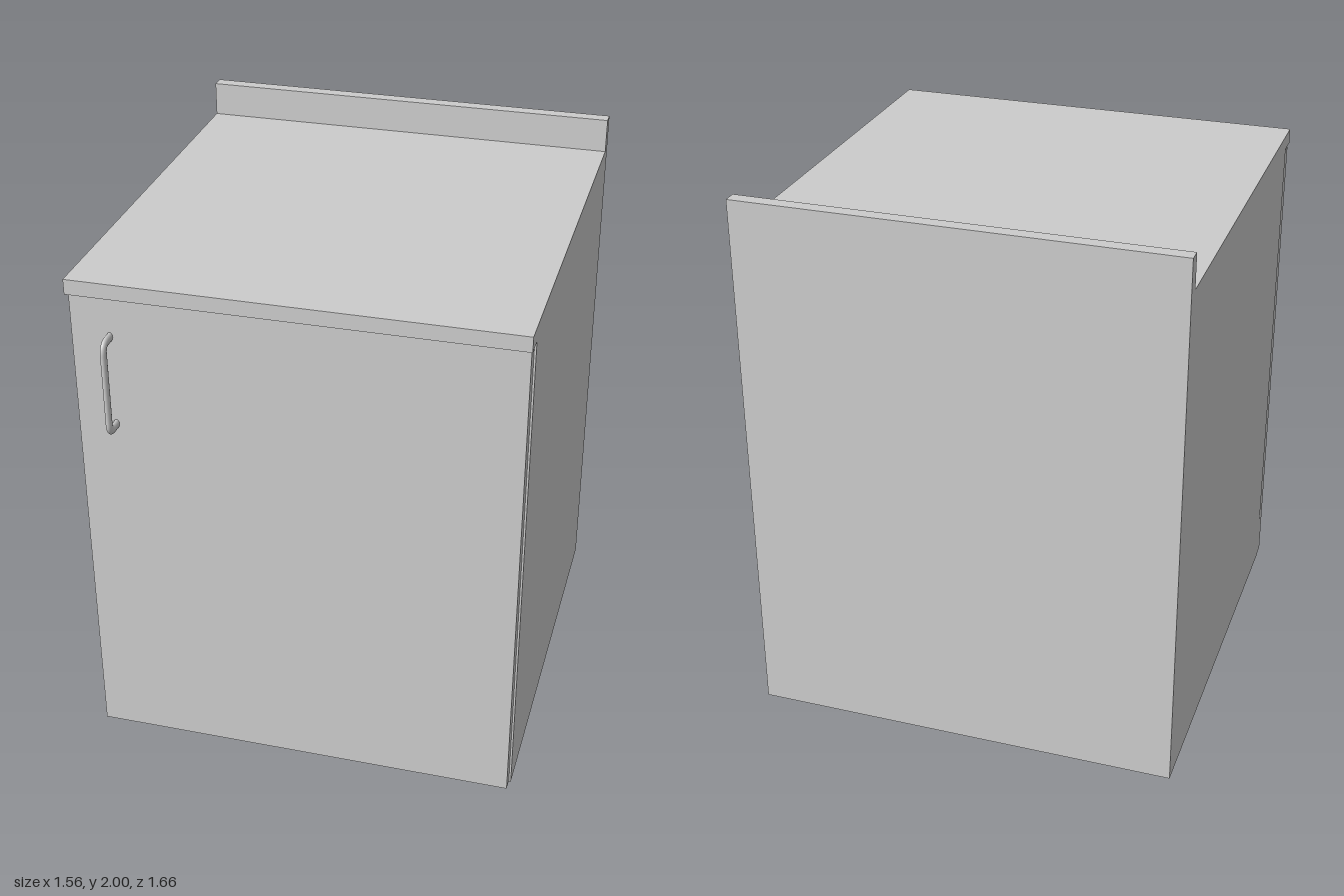
import * as THREE from 'three';

export function createModel() {
  const group = new THREE.Group();
  const material = new THREE.MeshStandardMaterial({ color: 0xcccccc });
  const add = (name, geometry) => {
    const mesh = new THREE.Mesh(geometry, material);
    mesh.name = name;
    group.add(mesh);
    return mesh;
  };

  // Carcass, worktop and upstand share one side profile (z, y), extruded across x
  const width = 1.56;
  const profile = new THREE.Shape([
    [-0.83, 0], [0.705, 0], [0.705, 1.82], [0.78, 1.82],
    [0.78, 1.875], [-0.78, 1.875], [-0.78, 2], [-0.83, 2],
  ].map(([z, y]) => new THREE.Vector2(z, y)));
  const body = new THREE.ExtrudeGeometry(profile, { depth: width, bevelEnabled: false });
  body.rotateY(-Math.PI / 2).translate(width / 2, 0, 0);
  add('cabinetAndWorktop', body);

  // Door panel with a fine gap under the worktop
  const door = add('door', new THREE.BoxGeometry(1.552, 1.81, 0.045));
  door.position.set(-0.003, 0.91, 0.7275);

  // Bow handle: rounded corners, oval section flattened in x
  const [low, high, back, front, bend] = [1.33, 1.666, 0.74, 0.814, 0.035];
  const v = (y, z) => new THREE.Vector3(0, y, z);
  const path = new THREE.CurvePath();
  path.add(new THREE.LineCurve3(v(low, back), v(low, front - bend)));
  path.add(new THREE.QuadraticBezierCurve3(v(low, front - bend), v(low, front), v(low + bend, front)));
  path.add(new THREE.LineCurve3(v(low + bend, front), v(high - bend, front)));
  path.add(new THREE.QuadraticBezierCurve3(v(high - bend, front), v(high, front), v(high, front - bend)));
  path.add(new THREE.LineCurve3(v(high, front - bend), v(high, back)));
  const handle = add('doorHandle', new THREE.TubeGeometry(path, 80, 0.017, 16));
  handle.scale.x = 0.6;
  handle.position.x = -0.642;

  return group;
}
